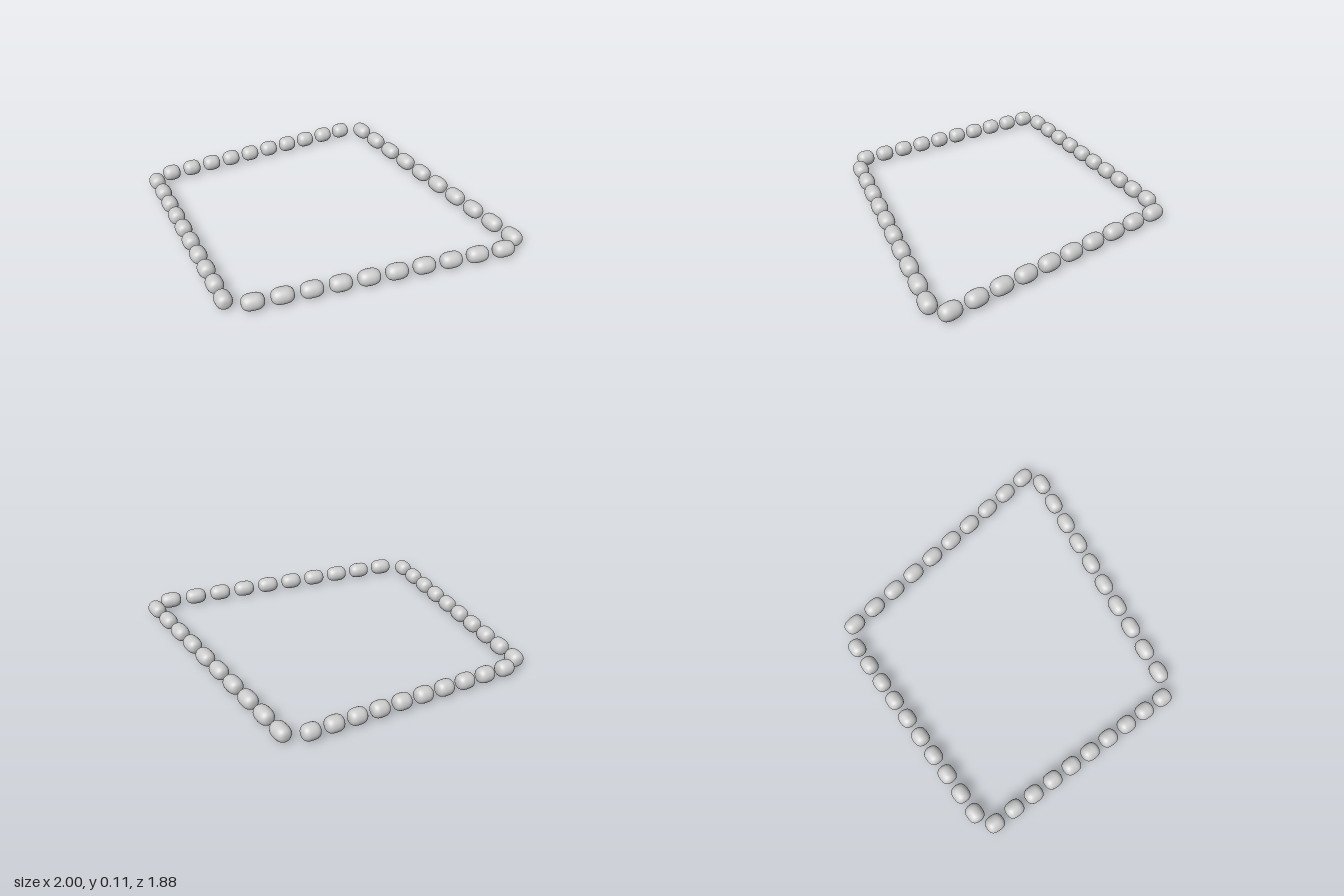
import * as THREE from 'three';

const RADIUS = 0.054, PER_SIDE = 10;

// Rounded barrel of unit length along y, made from a superellipse profile
function beadGeometry() {
  const pts = [];
  const steps = 20, power = 2 / 2.7;
  for (let i = 0; i <= steps; i++) {
    const a = -Math.PI / 2 + (Math.PI * i) / steps;
    const c = Math.max(0, Math.cos(a)), s = Math.sin(a);
    const r = i === 0 || i === steps ? 0 : RADIUS * Math.pow(c, power);
    pts.push(new THREE.Vector2(r, 0.5 * Math.sign(s) * Math.pow(Math.abs(s), power)));
  }
  return new THREE.LatheGeometry(pts, 28);
}

export function createModel() {
  const model = new THREE.Group();
  model.name = 'beadLoop';
  const geometry = beadGeometry();
  const material = new THREE.MeshStandardMaterial({ color: 0xcccccc });
  const up = new THREE.Vector3(0, 1, 0);

  // First and last bead centres of each side: [x, z]
  const sides = [
    ['backRow', [-0.82, -0.89], [0.547, -0.89]],
    ['leftRow', [0.7, -0.811], [0.94, 0.802]],
    ['frontRow', [-0.797, 0.638], [0.814, 0.882]],
    ['rightRow', [-0.946, -0.825], [-0.946, 0.542]],
  ];

  for (const [name, a, b] of sides) {
    const row = new THREE.Group();
    row.name = name;
    const start = new THREE.Vector3(a[0], RADIUS, a[1]);
    const end = new THREE.Vector3(b[0], RADIUS, b[1]);
    const dir = end.clone().sub(start);
    const spacing = dir.length() / (PER_SIDE - 1);
    dir.normalize();
    // Beads lie along the side and stretch with its spacing
    for (let i = 0; i < PER_SIDE; i++) {
      const bead = new THREE.Mesh(geometry, material);
      bead.name = 'bead';
      bead.position.lerpVectors(start, end, i / (PER_SIDE - 1));
      bead.quaternion.setFromUnitVectors(up, dir);
      bead.scale.y = spacing * 0.79;
      row.add(bead);
    }
    model.add(row);
  }
  return model;
}
